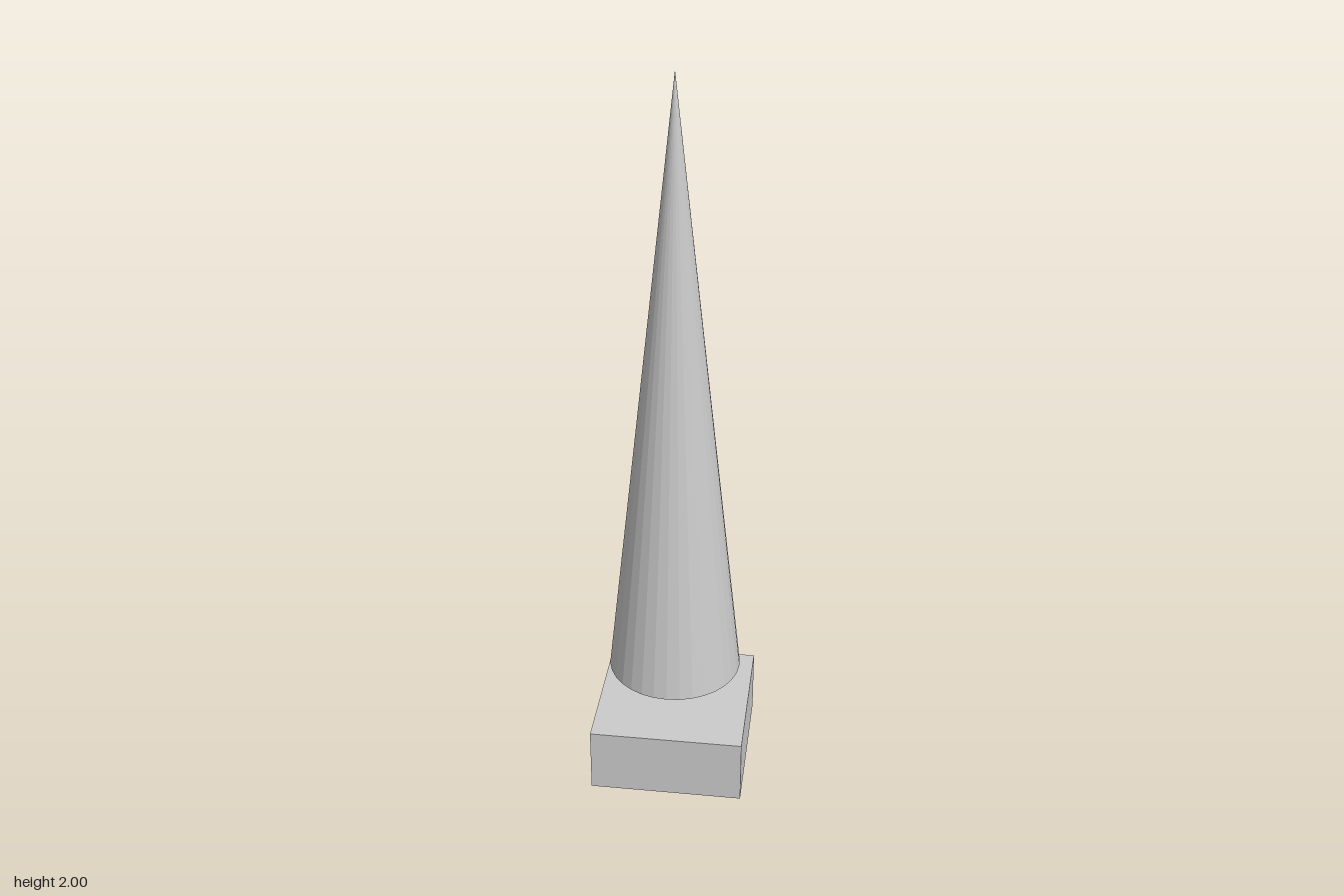
import * as THREE from 'three';

export function createModel() {
  const model = new THREE.Group();
  const material = new THREE.MeshStandardMaterial({ color: 0xcccccc, flatShading: true });

  // Adds a part resting with its underside at the given height
  function addPart(name, geometry, height, bottom) {
    const mesh = new THREE.Mesh(geometry, material);
    mesh.name = name;
    mesh.position.y = bottom + height / 2;
    model.add(mesh);
  }

  // Square plinth on the ground
  const baseHeight = 0.187;
  addPart('base', new THREE.BoxGeometry(0.424, baseHeight, 0.424), baseHeight, 0);

  // Tall closed cone floating above the plinth
  const coneBottom = 0.307;
  const coneHeight = 2 - coneBottom;
  addPart('spire', new THREE.ConeGeometry(0.185, coneHeight, 32), coneHeight, coneBottom);

  return model;
}
